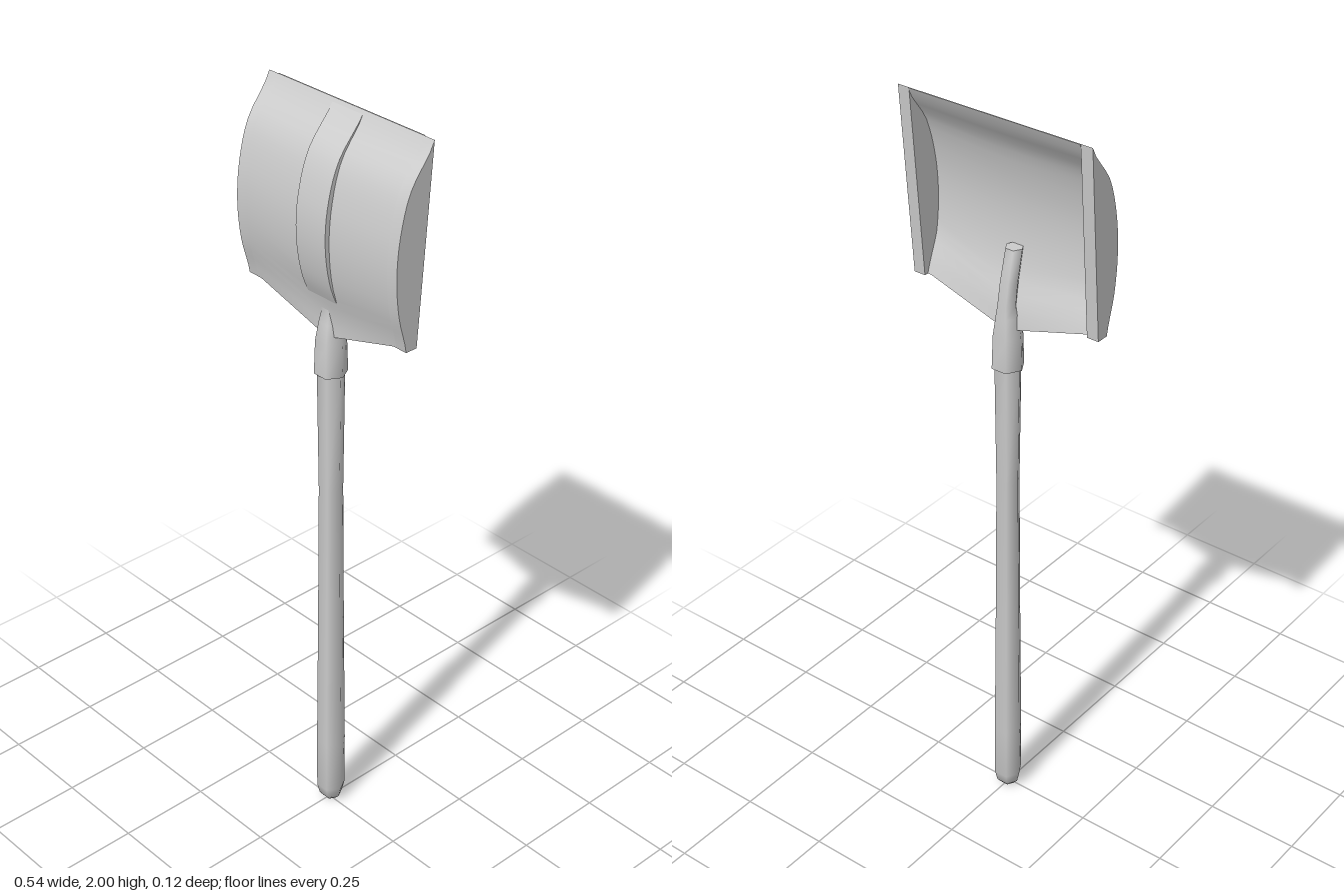
import * as THREE from 'three';
import { toCreasedNormals } from 'three/addons/utils/BufferGeometryUtils.js';

const material = new THREE.MeshStandardMaterial({ color: 0xcccccc, side: THREE.DoubleSide });

// Skin a row of equal, even-sized rings and cap both ends.
function skin(name, rings, crease) {
  const n = rings[0].length;
  const index = [];
  const quad = (a, b, c, d) => index.push(a, b, c, a, c, d);
  for (let k = 0; k < rings.length - 1; k++) {
    for (let i = 0; i < n; i++) {
      const j = (i + 1) % n;
      quad(k * n + i, k * n + j, (k + 1) * n + j, (k + 1) * n + i);
    }
  }
  const last = (rings.length - 1) * n;
  for (let i = 0; i < n / 2 - 1; i++) {
    quad(n - 1 - i, n - 2 - i, i + 1, i);
    quad(last + i, last + i + 1, last + n - 2 - i, last + n - 1 - i);
  }
  const geometry = new THREE.BufferGeometry();
  geometry.setAttribute('position', new THREE.Float32BufferAttribute(rings.flat(2), 3));
  geometry.setIndex(index);
  return named(name, toCreasedNormals(geometry, crease));
}

function named(name, geometry) {
  const mesh = new THREE.Mesh(geometry, material);
  mesh.name = name;
  return mesh;
}

// Six-sided rod through stations of [y, z, radius].
function rod(name, stations) {
  const rings = stations.map(([y, z, r]) => Array.from({ length: 6 }, (_, i) => {
    const a = Math.PI / 2 + i * Math.PI / 3;
    return [r * Math.sin(a), y, z + r * Math.cos(a)];
  }));
  return skin(name, rings, 1.2);
}

// Front depth of the blade by height, evenly spaced from y = 2 to y = 1.4.
const curve = new THREE.SplineCurve(
  [-0.06, 0.008, 0.038, 0.047, 0.038, 0.013, 0.01].map((z, i) => new THREE.Vector2(i, z)));
const bladeZ = (y) => curve.getPoint((2 - y) / 0.6).y;

// Curved slab: columns of [x, bottom], with front and back offsets from the blade curve.
function slab(name, columns, top, front, back) {
  const steps = 20;
  const rings = columns.map(([x, bottom]) => {
    const f = [], b = [];
    for (let i = 0; i <= steps; i++) {
      const t = i / steps;
      const y = top + (bottom - top) * t;
      f.push([x, y, bladeZ(y) + front(t)]);
      b.unshift([x, y, bladeZ(y) - back(t)]);
    }
    return [...f, ...b];
  });
  return skin(name, rings, 0.6);
}

export function createModel() {
  const group = new THREE.Group();

  // Handle, slimmer in the middle with a rounded end
  group.add(rod('handle', [
    [0, -0.005, 0.018], [0.015, -0.005, 0.031], [0.045, -0.005, 0.038], [0.2, -0.005, 0.038],
    [0.6, -0.005, 0.034], [1.0, -0.005, 0.031], [1.35, -0.005, 0.035],
  ]));

  // Socket collar and the tang that runs up behind the blade
  group.add(rod('socket', [
    [1.33, -0.005, 0.042], [1.42, -0.005, 0.039], [1.47, -0.006, 0.031],
    [1.5, -0.008, 0.025], [1.56, 0.001, 0.024], [1.64, 0.02, 0.023],
  ]));

  // Curved blade with its shallow pointed lower edge
  group.add(slab('blade',
    [[-0.24, 1.5], [-0.23, 1.5], [-0.03, 1.44], [0.03, 1.44], [0.23, 1.5], [0.24, 1.5]],
    2, () => 0, (t) => 0.003 + 0.007 * Math.min(1, t * 4) + 0.012 * Math.max(0, t * 5 - 4)));

  // Raised centre rib, fading out at both ends
  group.add(slab('centreRib', [[-0.05, 1.54], [0.05, 1.54]], 1.995,
    (t) => 0.013 * Math.sin(Math.PI * t) ** 0.7, () => 0.002));

  // Side walls closing the curve
  const outline = [];
  for (let i = 0; i <= 20; i++) {
    const y = 2 - 0.5 * i / 20;
    outline.push(new THREE.Vector2(bladeZ(y), y));
  }
  outline.push(new THREE.Vector2(-0.02, 1.5));
  const wall = new THREE.ExtrudeGeometry(new THREE.Shape(outline), { depth: 0.032, bevelEnabled: false });
  wall.rotateY(-Math.PI / 2);
  const wallGeometry = toCreasedNormals(wall, 0.6);
  for (const [name, x] of [['leftWall', 0.272], ['rightWall', -0.24]]) {
    const mesh = named(name, wallGeometry);
    mesh.position.x = x;
    group.add(mesh);
  }
  return group;
}
